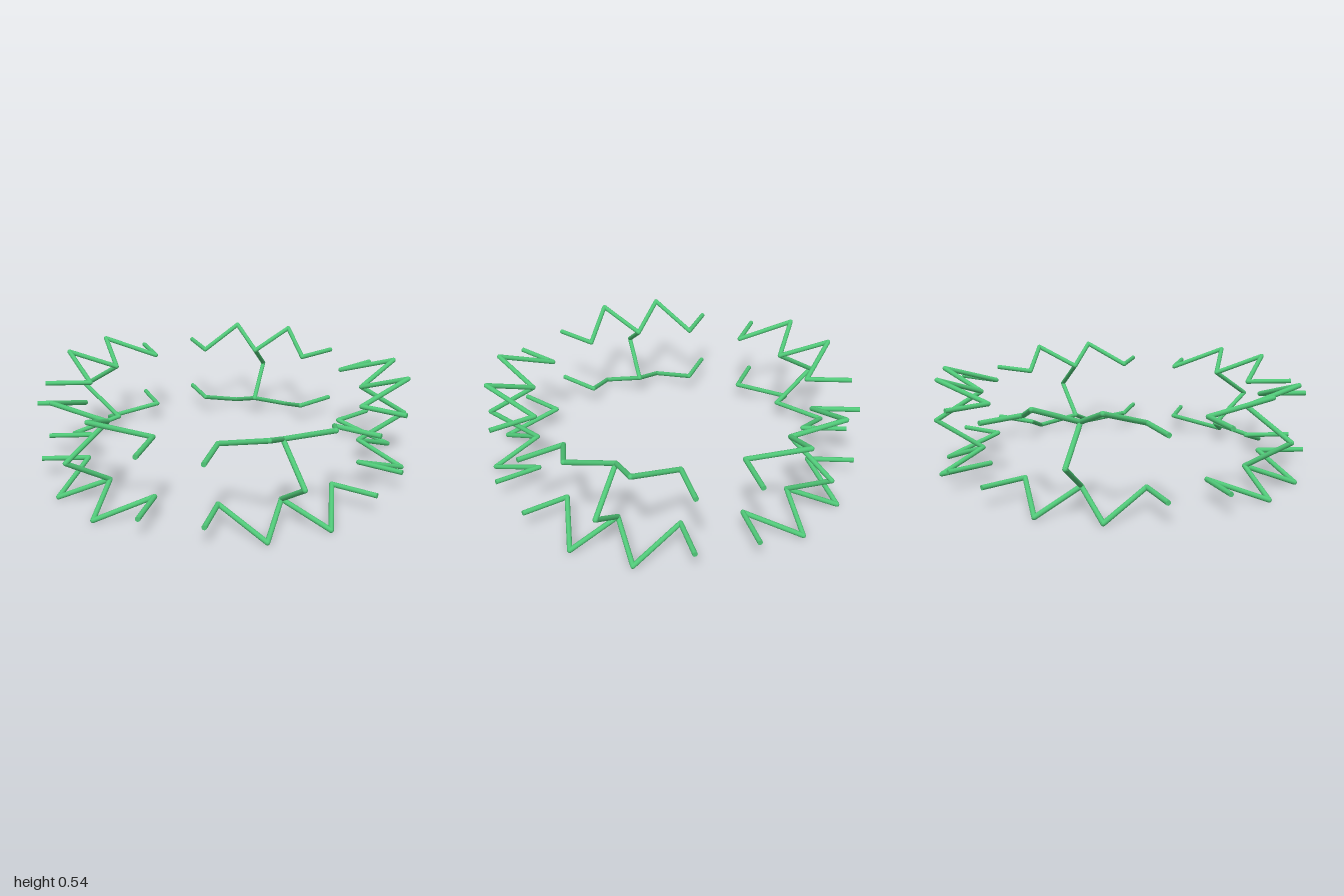
import * as THREE from 'three';

const R = 0.013;       // rod radius
const MID_Y = 0.268;   // height of the mirror plane
const material = new THREE.MeshStandardMaterial({ color: 0x50c878 });

// straight rod between two points
function rod(name, a, b) {
  const dir = b.clone().sub(a);
  const mesh = new THREE.Mesh(new THREE.CylinderGeometry(R, R, dir.length(), 12), material);
  mesh.position.copy(a).add(b).multiplyScalar(0.5);
  mesh.quaternion.setFromUnitVectors(new THREE.Vector3(0, 1, 0), dir.normalize());
  mesh.name = name;
  return mesh;
}

// rounded joint where rods meet
function joint(p) {
  const mesh = new THREE.Mesh(new THREE.SphereGeometry(R, 12, 8), material);
  mesh.position.copy(p);
  mesh.name = 'joint';
  return mesh;
}

// one fifth of the ring, facing +z: a bent spine with zigzag arms
function createUnit() {
  const unit = new THREE.Group();
  const tip = new THREE.Vector3(0, MID_Y, 1.0);
  unit.add(joint(tip));
  for (const v of [1, -1]) {
    const node = new THREE.Vector3(0, MID_Y + v * 0.157, 0.752);
    unit.add(rod('spineRod', tip, node), joint(node));
    for (const s of [1, -1]) {
      const path = [
        node,
        new THREE.Vector3(s * 0.165, MID_Y + v * 0.255, 0.962),
        new THREE.Vector3(s * 0.305, MID_Y + v * 0.157, 0.692),
        new THREE.Vector3(s * 0.45, MID_Y + v * 0.157, 0.892),
      ];
      for (let i = 0; i < 3; i++) {
        unit.add(rod('armRod', path[i], path[i + 1]));
        if (i > 0) unit.add(joint(path[i]));
      }
    }
  }
  return unit;
}

export function createModel() {
  const model = new THREE.Group();
  model.name = 'rodRing';
  // five units around the vertical axis
  for (let i = 0; i < 5; i++) {
    const unit = createUnit();
    unit.name = 'ringUnit' + (i + 1);
    unit.rotation.y = (i * Math.PI * 2) / 5;
    unit.position.z = -0.012;
    model.add(unit);
  }
  return model;
}
